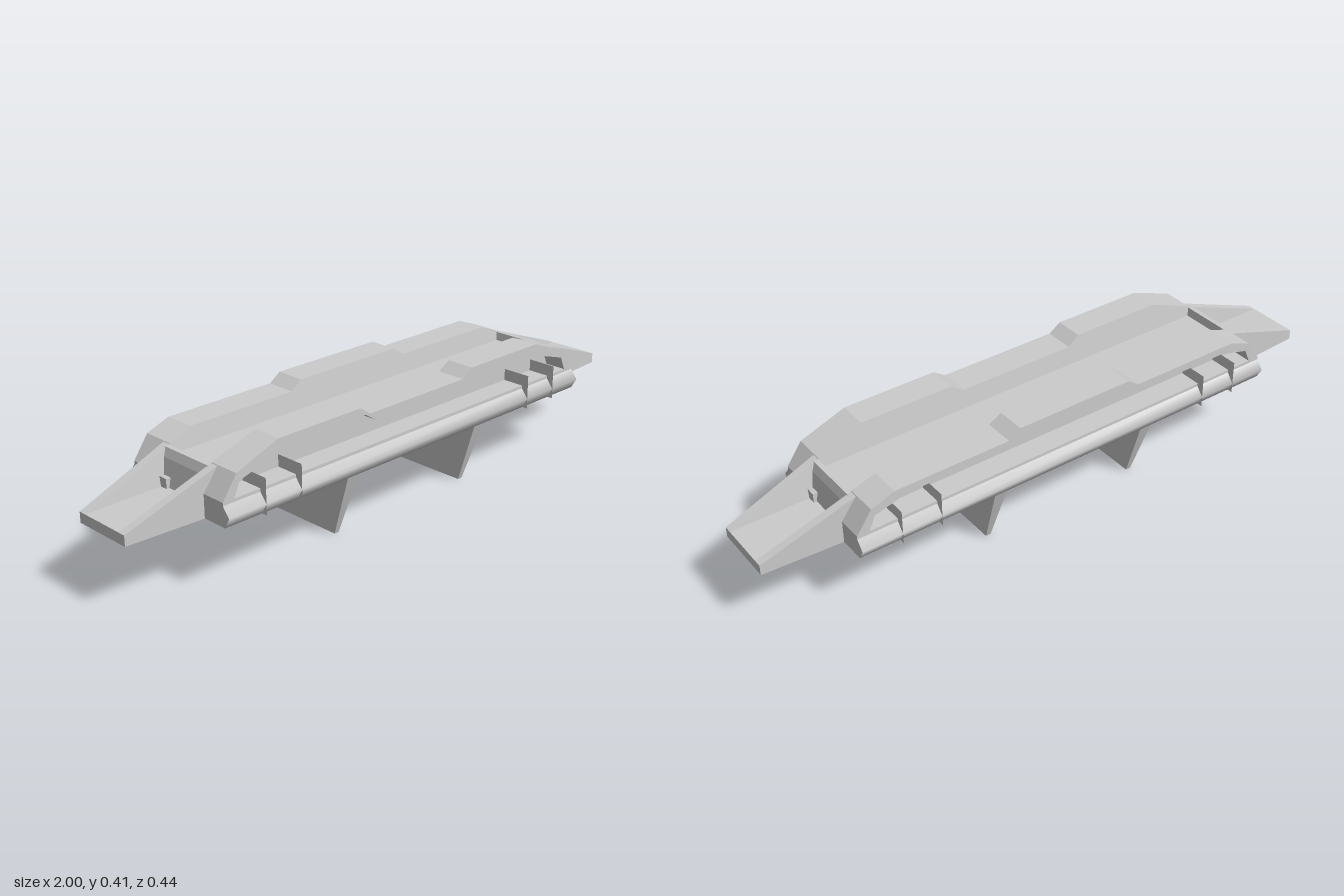
import * as THREE from 'three';
import { toCreasedNormals } from 'three/addons/utils/BufferGeometryUtils.js';

const mat = new THREE.MeshStandardMaterial({ color: 0xcccccc });
const thinMat = new THREE.MeshStandardMaterial({ color: 0xcccccc, side: THREE.DoubleSide });

const BASE = 0.207;   // underside of the body
const LEDGE = 0.28;   // bottom of the side recess
const DECK = 0.24;    // floor of the end ramps

const points = (list) => list.map(([x, y]) => new THREE.Vector2(x, y));

// Completes a right-half outline with its mirror image across x = 0.
const mirrored = (half) => points([...half, ...half.slice().reverse().map(([x, y]) => [-x, y])]);

function extrude(shape, depth, z0) {
  const g = new THREE.ExtrudeGeometry(shape, { depth, bevelEnabled: false });
  g.translate(0, 0, z0);
  return g;
}

// Moves each vertex by a rule, then restores crisp normals.
function reshape(geometry, rule) {
  const p = geometry.attributes.position;
  const v = new THREE.Vector3();
  for (let i = 0; i < p.count; i++) {
    v.fromBufferAttribute(p, i);
    rule(v);
    p.setXYZ(i, v.x, v.y, v.z);
  }
  geometry.computeVertexNormals();
  return geometry;
}

function add(group, name, geometry, material = mat) {
  const mesh = new THREE.Mesh(geometry, material);
  mesh.name = name;
  group.add(mesh);
  return mesh;
}

// Height and half width of the sloping channel sides.
const innerZ = (y) => 0.075 + ((y - DECK) / 0.165) * 0.025;
const slopeX = (y) => 1 - ((y - DECK) / 0.165) * 0.45;

// One long side: wall with a recess, rail and fins (faces +z).
function makeSide(name, yEnd, yMid) {
  const side = new THREE.Group();
  side.name = name;

  const outline = mirrored([
    [0.75, BASE], [0.75, LEDGE], [0.7, 0.35], [slopeX(yEnd), yEnd], [0.24, yEnd], [0.2, yMid],
  ]);

  // Inner skin, leaning outward towards the top
  const skin = extrude(new THREE.Shape(outline), 1, 0);
  reshape(skin, (v) => { v.z = v.z < 0.5 ? innerZ(v.y) : 0.122; });
  add(side, 'innerWall', skin);

  // Outer frame around the recess
  const frame = new THREE.Shape(outline);
  frame.holes.push(new THREE.Path(mirrored([
    [0.71, LEDGE], [0.69, 0.325], [slopeX(yEnd) - 0.04, yEnd - 0.025],
    [0.22, yEnd - 0.025], [0.18, yMid - 0.025],
  ])));
  add(side, 'wallFrame', extrude(frame, 0.195 - 0.118, 0.118));

  // Rounded rail below the recess
  const section = new THREE.Shape(points([
    [-0.05, BASE], [-0.05, 0.27], [-0.195, 0.27], [-0.219, DECK], [-0.2, BASE],
  ]));
  const rail = extrude(section, 1.5, -0.75);
  rail.rotateY(Math.PI / 2);
  add(side, 'rail', toCreasedNormals(rail, 1.3));

  // Thin fins in pairs at both ends of the rail
  for (const x of [-0.62, -0.49, 0.49, 0.62]) {
    const fin = add(side, 'fin', new THREE.PlaneGeometry(0.1, 0.318 - BASE), thinMat);
    fin.rotation.y = Math.PI / 2;
    fin.position.set(x, (0.318 + BASE) / 2, 0.169);
  }
  return side;
}

// Tapered ramp cheeks at the +x end
function makeRamp(name) {
  const ramp = new THREE.Group();
  ramp.name = name;
  const cheek = new THREE.Shape(points([
    [0.68, BASE], [1, BASE], [1, DECK], [0.7, 0.348], [0.68, 0.348],
  ]));
  const outerZ = (x) => 0.118 - ((x - 0.7) / 0.3) * 0.018;
  for (const s of [1, -1]) {
    const g = extrude(cheek, 1, 0);
    reshape(g, (v) => {
      const outside = (s > 0) === (v.z > 0.5);
      v.z = s * (outside ? outerZ(v.x) : innerZ(v.y));
    });
    add(ramp, 'rampCheek', g);
  }
  return ramp;
}

export function createModel() {
  const model = new THREE.Group();
  model.name = 'platform';

  // Central deck with a raised cross bar at each end of the channel
  const deck = new THREE.Shape(mirrored([
    [1, BASE], [1, DECK], [0.74, DECK], [0.725, 0.318], [0.715, 0.345], [0.7, 0.345], [0.695, 0.318],
  ]));
  const deckGeometry = extrude(deck, 1, 0);
  reshape(deckGeometry, (v) => {
    const half = Math.abs(v.x) > 0.99 ? 0.099 : 0.095;
    v.z = v.z > 0.5 ? half : -half;
  });
  add(model, 'deck', deckGeometry);

  // Long sides: the front dips in the middle, the back rises
  model.add(makeSide('frontSide', 0.405, 0.378));
  const back = makeSide('backSide', 0.378, 0.405);
  back.rotation.y = Math.PI;
  model.add(back);

  // End ramps
  model.add(makeRamp('leftRamp'));
  const right = makeRamp('rightRamp');
  right.rotation.y = Math.PI;
  model.add(right);

  // Tapering legs
  for (const x of [-0.275, 0.275]) {
    const g = new THREE.BoxGeometry(0.042, BASE, 0.4);
    reshape(g, (v) => {
      if (v.y < 0) { v.x *= 0.4; v.z *= 0.64; }
    });
    add(model, 'leg', g).position.set(x, BASE / 2, 0);
  }
  return model;
}
